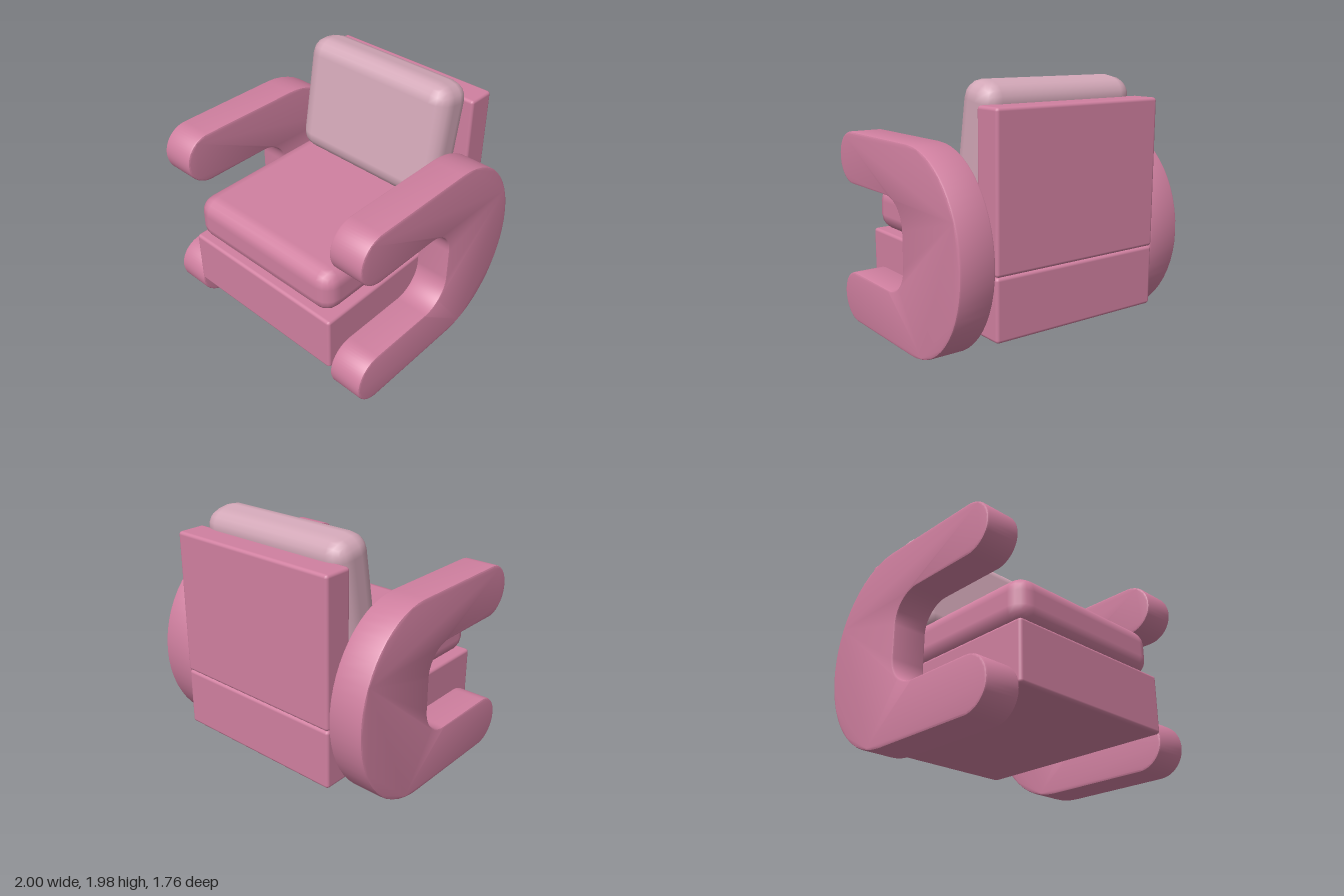
import * as THREE from 'three';
import { toCreasedNormals } from 'three/addons/utils/BufferGeometryUtils.js';
import { RoundedBoxGeometry } from 'three/addons/geometries/RoundedBoxGeometry.js';

const rosePink = new THREE.MeshStandardMaterial({ color: 0xd080a0 });
rosePink.name = 'rosePink';
const paleRose = new THREE.MeshStandardMaterial({ color: 0xd2a7b7 });
paleRose.name = 'paleRose';

// C-shaped side drawn in (z, y), extruded across the arm width
function armGeometry() {
  const width = 0.28, bevel = 0.015, r = 0.205, front = 0.665;
  const height = 1.54, slotLow = 0.41, slotHigh = 1.13, slotBack = -0.11, fillet = 0.23;
  const s = new THREE.Shape();
  s.moveTo(-0.2, 0);
  s.lineTo(front, 0);
  s.absarc(front, r, r, -Math.PI / 2, Math.PI / 2, false);
  s.lineTo(slotBack + fillet, slotLow);
  s.absarc(slotBack + fillet, slotLow + fillet, fillet, -Math.PI / 2, -Math.PI, true);
  s.lineTo(slotBack, slotHigh - fillet);
  s.absarc(slotBack + fillet, slotHigh - fillet, fillet, Math.PI, Math.PI / 2, true);
  s.lineTo(front, slotHigh);
  s.absarc(front, height - r, r, -Math.PI / 2, Math.PI / 2, false);
  s.lineTo(-0.2, height);
  s.absellipse(-0.2, height / 2, 0.67, height / 2, Math.PI / 2, Math.PI * 1.5, false, 0);
  const geo = new THREE.ExtrudeGeometry(s, {
    depth: width - 2 * bevel, curveSegments: 14,
    bevelEnabled: true, bevelThickness: bevel, bevelSize: bevel, bevelOffset: -bevel, bevelSegments: 2,
  });
  geo.translate(0, 0, bevel - width / 2);
  geo.rotateY(-Math.PI / 2);
  return toCreasedNormals(geo, 0.6);
}

export function createModel() {
  const chair = new THREE.Group();
  chair.name = 'armchair';

  const addBox = (name, size, position, radius, segments, material) => {
    const mesh = new THREE.Mesh(new RoundedBoxGeometry(...size, segments, radius), material);
    mesh.name = name;
    mesh.position.set(...position);
    chair.add(mesh);
    return mesh;
  };

  // Frame
  addBox('seatBase', [1.44, 0.46, 1.76], [0, 0.47, 0], 0.025, 2, rosePink);
  addBox('backPanel', [1.44, 1.12, 0.23], [0, 1.26, -0.767], 0.025, 2, rosePink);

  // Cushions
  addBox('seatCushion', [1.4, 0.37, 1.53], [0, 0.885, 0.1], 0.13, 2, rosePink);
  const pillow = addBox('backCushion', [1.35, 0.95, 0.355], [0, 1.505, -0.465], 0.14, 2, paleRose);
  pillow.rotation.x = -0.17;

  // Arms, one on each side
  const arm = armGeometry();
  for (const [name, side] of [['leftArm', 1], ['rightArm', -1]]) {
    const mesh = new THREE.Mesh(arm, rosePink);
    mesh.name = name;
    mesh.position.x = side * 0.86;
    chair.add(mesh);
  }
  return chair;
}
